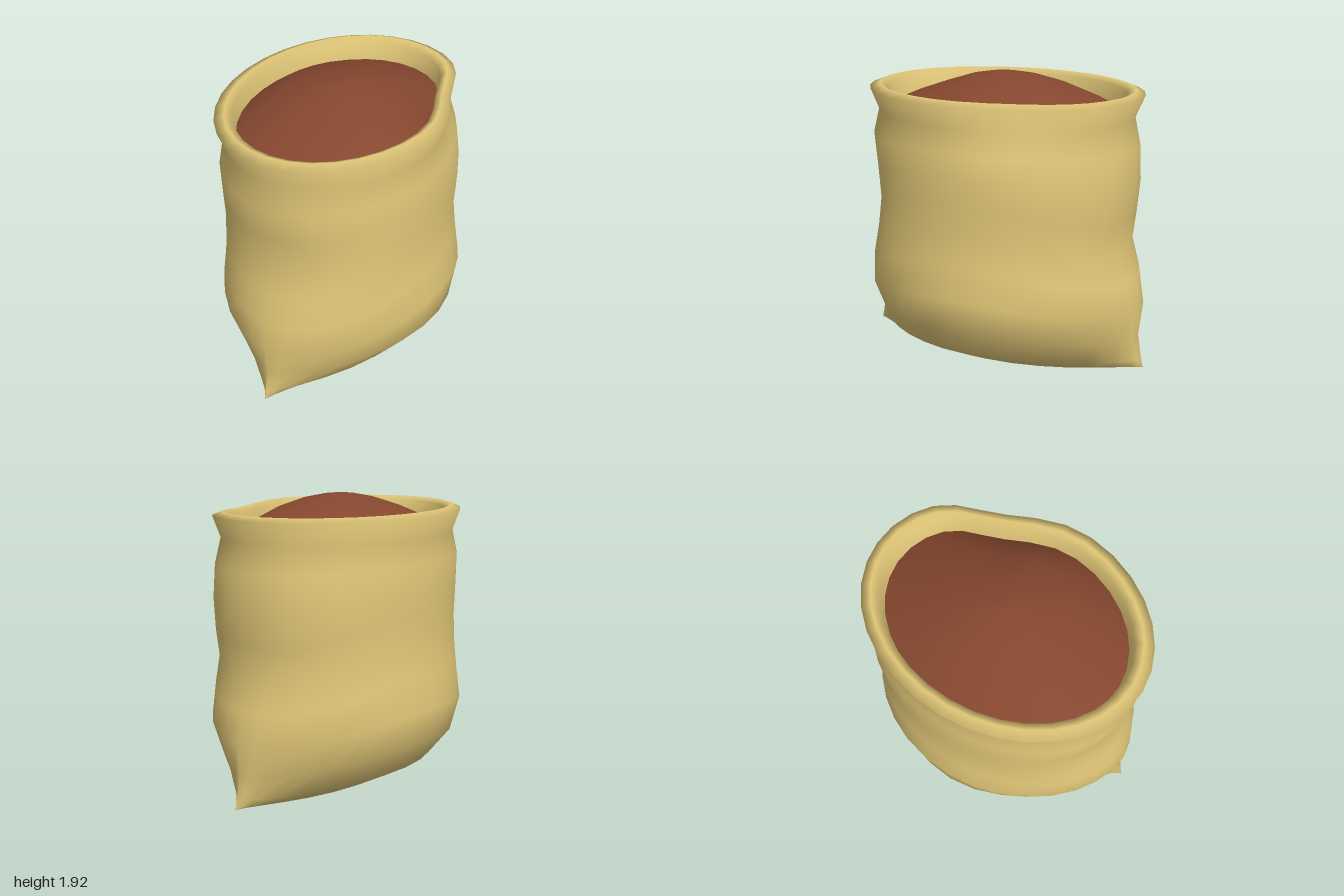
import * as THREE from 'three';

const SEGMENTS = 32;

// Surface through oval rings, listed from the bottom up:
// [half width x, front z, back z, y at front/back, y at sides, pinch, dent]
function loft(rings) {
  const positions = [], index = [];
  rings.forEach(([hx, front, back, yEnd, ySide, pinch, dent], i) => {
    for (let j = 0; j < SEGMENTS; j++) {
      const t = (j / SEGMENTS) * Math.PI * 2;
      const s = Math.sin(t), c = Math.cos(t);
      // A soft dent pushed into the left rear of the mouth
      const d = dent * Math.exp(-(((t - 2.06) / 0.4) ** 2));
      const x = hx * Math.sign(s) * Math.abs(s) ** pinch * (1 - d);
      const y = THREE.MathUtils.lerp(yEnd, ySide, Math.abs(s) ** 3) - d * 0.08;
      positions.push(x, y, c * (c > 0 ? front : back));

      if (i === rings.length - 1) continue;
      const k = (j + 1) % SEGMENTS;
      const a = i * SEGMENTS + j, b = i * SEGMENTS + k;
      index.push(a, b, b + SEGMENTS, a, b + SEGMENTS, a + SEGMENTS);
    }
  });
  const geometry = new THREE.BufferGeometry();
  geometry.setAttribute('position', new THREE.Float32BufferAttribute(positions, 3));
  geometry.setIndex(index);
  geometry.computeVertexNormals();
  return geometry;
}

function part(name, geometry, color) {
  const material = new THREE.MeshStandardMaterial({ color, side: THREE.DoubleSide });
  const mesh = new THREE.Mesh(geometry, material);
  mesh.name = name;
  return mesh;
}

export function createModel() {
  const group = new THREE.Group();
  group.name = 'openSack';

  // Cloth: flat seam with two pointed corners, slumped body, rolled rim, inner wall
  group.add(part('sackCloth', loft([
    [0.00, 1.00, 1.00, 0.04, 0.02, 1, 0],
    [0.17, 1.00, 1.00, 0.04, 0.00, 1.9, 0],
    [0.32, 0.995, 0.995, 0.045, 0.035, 2.1, 0],
    [0.57, 0.985, 0.985, 0.09, 0.17, 2.1, 0],
    [0.75, 0.945, 0.955, 0.25, 0.39, 1.6, 0],
    [0.77, 0.965, 0.965, 0.45, 0.61, 1.18, 0],
    [0.72, 0.94, 0.925, 0.65, 0.83, 1.03, 0],
    [0.705, 0.89, 0.86, 0.85, 1.05, 0.98, 0],
    [0.71, 0.85, 0.88, 1.05, 1.22, 0.93, 0],
    [0.71, 0.87, 0.90, 1.27, 1.37, 0.94, 0.01],
    [0.705, 0.90, 0.89, 1.50, 1.52, 0.97, 0.04],
    [0.68, 0.86, 0.855, 1.67, 1.67, 1, 0.11],
    [0.725, 0.92, 0.915, 1.81, 1.81, 1, 0.15],
    [0.66, 0.855, 0.855, 1.835, 1.835, 1, 0.15],
    [0.615, 0.80, 0.80, 1.81, 1.81, 1, 0.15],
    [0.60, 0.775, 0.775, 1.64, 1.64, 1, 0.15],
  ]), 0xe2c878));

  // Heaped contents: a low dome that follows the outline of the mouth [x, z, y, dent]
  const heap = [
    [0.605, 0.78, 1.69, 0.15], [0.52, 0.63, 1.755, 0.1], [0.39, 0.42, 1.83, 0.03],
    [0.22, 0.25, 1.885, 0], [0.1, 0.12, 1.91, 0], [0, 0, 1.92, 0],
  ];
  group.add(part('contents', loft(
    heap.map(([x, z, y, dent]) => [x, z, z, y, y, 1, dent])
  ), 0x85472f));

  return group;
}
